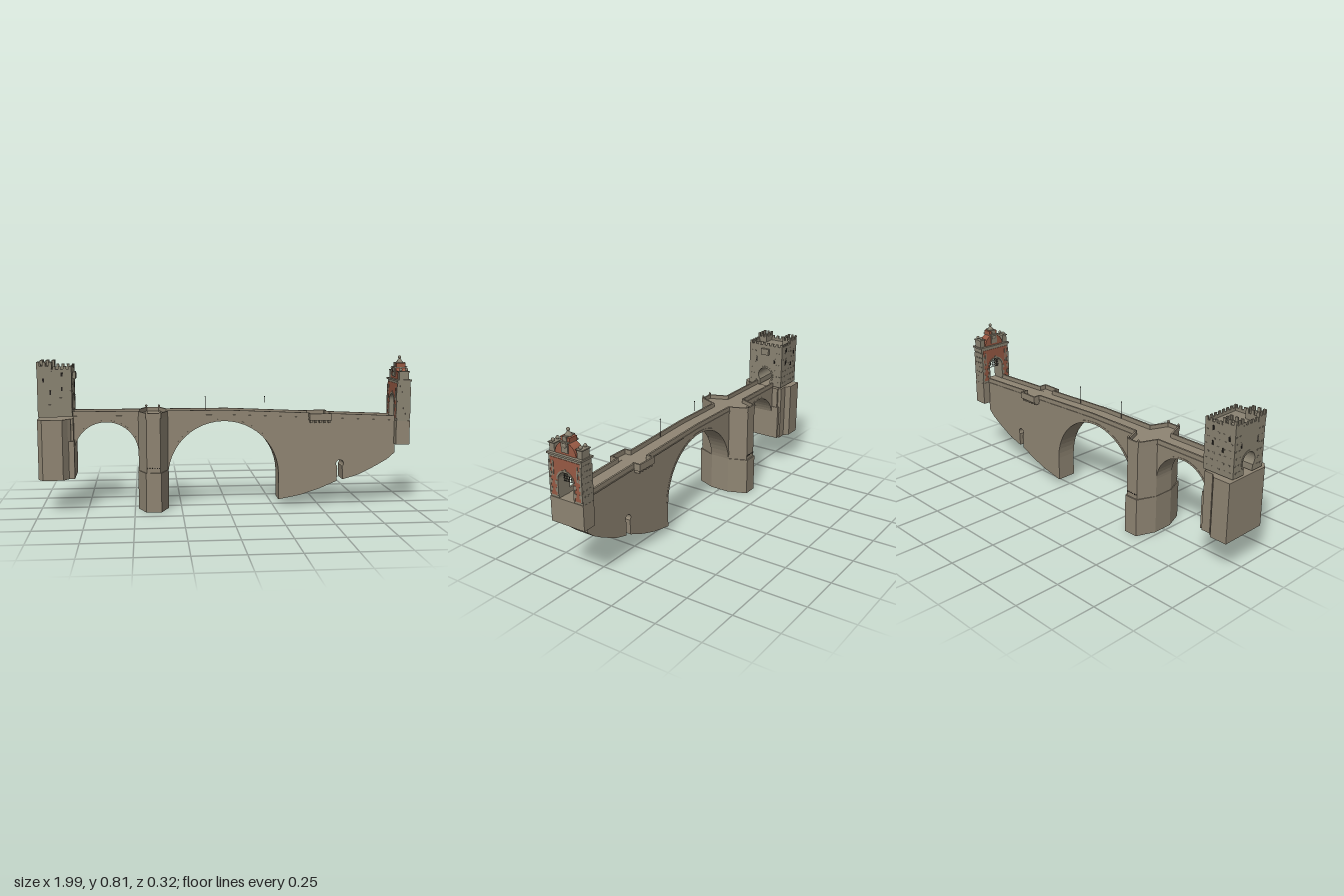
import * as THREE from 'three';

export function createModel() {
  const root = new THREE.Group();
  root.name = 'fortifiedBridge';
  const mat = (name, color) => {
    const m = new THREE.MeshStandardMaterial({ color });
    m.name = name;
    return m;
  };
  const stone = mat('stone', 0x8f8573);
  const greyStone = mat('greyStone', 0x8a8372);
  const brick = mat('brick', 0x985a44);
  const iron = mat('iron', 0x24211e);

  const add = (name, geo, m, parent = root) => {
    const mesh = new THREE.Mesh(geo, m);
    mesh.name = name;
    parent.add(mesh);
    return mesh;
  };
  const group = (name) => {
    const g = new THREE.Group();
    g.name = name;
    root.add(g);
    return g;
  };
  // Box given by its limits on each axis
  const box = (name, [x0, x1], [y0, y1], [z0, z1], m, parent) => {
    const b = add(name, new THREE.BoxGeometry(x1 - x0, y1 - y0, z1 - z0), m, parent);
    b.position.set((x0 + x1) / 2, (y0 + y1) / 2, (z0 + z1) / 2);
    return b;
  };
  const ball = (name, r, x, y, z, m, parent) => {
    const b = add(name, new THREE.SphereGeometry(r, 12, 8), m, parent);
    b.position.set(x, y, z);
    return b;
  };
  const prism = (pts, depth) => new THREE.ExtrudeGeometry(
    new THREE.Shape(pts.map(([a, b]) => new THREE.Vector2(a, b))), { depth, bevelEnabled: false });
  const alongZ = (pts, z0, z1) => prism(pts, z1 - z0).translate(0, 0, z0);
  const alongX = (pts, x0, x1) => prism(pts, x1 - x0).rotateY(Math.PI / 2).translate(x0, 0, 0);
  const alongY = (pts, y0, y1) => prism(pts.map(([x, z]) => [x, -z]), y1 - y0)
    .rotateX(-Math.PI / 2).translate(0, y0, 0);
  const arc = (cx, cy, r, a0, a1, n = 24) => Array.from({ length: n + 1 }, (_, i) => {
    const a = a0 + (a1 - a0) * i / n;
    return [cx + r * Math.cos(a), cy + r * Math.sin(a)];
  });
  const ring = (cx, cy, r, w, a0, a1) => [...arc(cx, cy, r + w, a0, a1), ...arc(cx, cy, r, a1, a0)];
  const PI = Math.PI;
  const deckY = (x) => 0.505 - 0.04 * Math.max(0, x) / 0.92;

  // Span: one side profile with both arches and the drain opening
  const span = group('span');
  add('spanBody', alongZ([
    [-0.82, 0.505], [-0.82, 0.3], ...arc(-0.649, 0.3, 0.171, PI, 0),
    [-0.478, 0.1], [-0.322, 0.1], ...arc(-0.022, 0.17, 0.3, PI, 0, 32),
    [0.278, 0.035], [0.4, 0.058], [0.5, 0.09], [0.6, 0.132],
    ...arc(0.616, 0.228, 0.021, 1.27 * PI, -0.27 * PI, 14),
    [0.632, 0.14], [0.72, 0.165], [0.82, 0.215], [0.88, 0.25], [0.92, 0.285],
    [0.92, 0.465], [0, 0.505],
  ], -0.056, 0.056), stone, span);

  // Sloping strip that follows the deck between two stations
  const strip = (name, x0, x1, low, high, z0, z1) => {
    const xs = x0 < 0 && x1 > 0 ? [x0, 0, x1] : [x0, x1];
    add(name, alongZ([...xs.map((x) => [x, deckY(x) + low]),
      ...[...xs].reverse().map((x) => [x, deckY(x) + high])], z0, z1), stone, span);
  };
  for (const s of [-1, 1]) {
    const zr = (a, b) => (s > 0 ? [a, b] : [-b, -a]);
    for (const [x0, x1] of [[-0.82, -0.475], [-0.325, 0.445], [0.555, 0.915]]) {
      strip('parapet', x0, x1, -0.001, 0.024, ...zr(0.047, 0.057));
      strip('stringCourse', x0, x1, -0.006, 0, ...zr(0.05, 0.06));
    }
    // Arch rings, slightly proud of the wall
    const [r0, r1] = zr(0.05, 0.0575);
    add('smallArchRing', alongZ(ring(-0.649, 0.3, 0.171, 0.01, 0.1, PI - 0.1), r0, r1), stone, span);
    add('largeArchRing', alongZ(ring(-0.022, 0.17, 0.3, 0.012, 0.03, PI - 0.03), r0, r1), stone, span);

    // Lookout balcony on corbels
    box('balconyFloor', [0.44, 0.56], [0.471, 0.483], zr(0.05, 0.093), stone, span);
    box('balconyWall', [0.44, 0.56], [0.478, 0.508], zr(0.085, 0.094), stone, span);
    for (const x of [0.44, 0.551]) box('balconyEnd', [x, x + 0.009], [0.478, 0.508], zr(0.047, 0.09), stone, span);
    for (let i = 0; i < 5; i++) {
      const x = 0.445 + i * 0.025;
      box('corbel', [x, x + 0.01], [0.456, 0.472], zr(0.05, 0.085), stone, span);
    }
  }

  // Central pier: six-sided plan, wider foot, refuges on top
  const pier = group('pier');
  const hexPlan = (w, e, z) => [[-0.4 - w, -0.056], [-0.4 - e, -z], [-0.4 + e, -z],
    [-0.4 + w, -0.056], [-0.4 + w, 0.056], [-0.4 + e, z], [-0.4 - e, z], [-0.4 - w, 0.056]];
  add('pierFoot', alongY(hexPlan(0.081, 0.04, 0.16), 0, 0.21), stone, pier);
  add('pierShaft', alongY(hexPlan(0.0785, 0.036, 0.153), 0.2, 0.505), stone, pier);
  const wall = (a, b, y0, y1, t) => {
    const dx = b[0] - a[0], dz = b[1] - a[1];
    const w = add('refugeWall', new THREE.BoxGeometry(Math.hypot(dx, dz) + t * 0.6, y1 - y0, t), stone, pier);
    w.position.set((a[0] + b[0]) / 2, (y0 + y1) / 2, (a[1] + b[1]) / 2);
    w.rotation.y = -Math.atan2(dz, dx);
  };
  for (const s of [-1, 1]) {
    const p = [[-0.475, 0.052], [-0.435, 0.149], [-0.365, 0.149], [-0.325, 0.052]].map(([x, z]) => [x, z * s]);
    for (let i = 0; i < 3; i++) wall(p[i], p[i + 1], 0.5, 0.527, 0.009);
    for (const [x, z] of [p[1], p[2]]) {
      box('refugePost', [x - 0.005, x + 0.005], [0.5, 0.531], [z - 0.005, z + 0.005], stone, pier);
      ball('refugeBall', 0.006, x, 0.535, z, stone, pier);
    }
    for (let i = 0; i < 6; i++) {
      const x = -0.434 + i * 0.0125;
      box('putlog', [x, x + 0.005], [0.232, 0.237], [s * 0.154 - 0.002, s * 0.154 + 0.002], iron, pier);
    }
  }

  // Lamp posts
  for (const x of [-0.12, 0.2]) {
    const post = add('lampPost', new THREE.CylinderGeometry(0.0013, 0.0013, 0.095, 6), iron);
    post.position.set(x, 0.55, 0.045);
    ball('lampHead', 0.003, x, 0.6, 0.045, iron);
  }

  // Abutment under the tower
  const base = group('towerBase');
  add('baseBlock', alongY([[-1, -0.135], [-0.905, -0.135], [-0.88, -0.11], [-0.83, -0.11], [-0.83, 0.11],
    [-0.845, 0.125], [-0.87, 0.16], [-0.975, 0.16], [-1, 0.13]], 0.18, 0.497), stone, base);
  box('baseFront', [-0.87, -0.813], [0.18, 0.38], [-0.1, 0.122], stone, base);
  box('baseUpper', [-0.87, -0.818], [0.37, 0.497], [-0.09, 0.1], stone, base);

  // Tower with a horseshoe passage
  const tower = group('tower');
  const T = { x0: -0.997, x1: -0.82, z: 0.11 };
  add('towerBody', alongX([[-0.11, 0.507], [-0.033, 0.507], ...arc(0, 0.57, 0.045, 1.238 * PI, -0.238 * PI),
    [0.033, 0.507], [0.11, 0.507], [0.11, 0.742], [-0.11, 0.742]], T.x0, T.x1), greyStone, tower);
  for (const x of [T.x0 - 0.002, T.x1 - 0.002]) {
    add('doorRing', alongX(ring(0, 0.57, 0.045, 0.01, -0.238 * PI, 1.238 * PI), x, x + 0.004), greyStone, tower);
  }
  box('machicolation', [-0.825, -0.805], [0.7, 0.737], [-0.025, 0.025], greyStone, tower);

  // Battlements round a rectangle: low wall plus merlons
  const battlement = (x0, x1, z0, z1, y0, y1, y2, nx, nz) => {
    const t = 0.008;
    const side = (len, n, place) => {
      place(0, len, y0, y1);
      const step = len / (2 * n - 1);
      for (let i = 0; i < n; i++) place(2 * i * step, (2 * i + 1) * step, y1 - 0.001, y2);
    };
    for (const z of [z0, z1 - t]) {
      side(x1 - x0, nx, (a, b, l, h) => box('merlon', [x0 + a, x0 + b], [l, h], [z, z + t], greyStone, tower));
    }
    for (const x of [x0, x1 - t]) {
      side(z1 - z0, nz, (a, b, l, h) => box('merlon', [x, x + t], [l, h], [z0 + a, z0 + b], greyStone, tower));
    }
  };
  battlement(T.x0, T.x1, -T.z, T.z, 0.74, 0.757, 0.772, 7, 8);
  for (const z of [-0.111, 0.055]) {
    box('turret', [-0.998, -0.922], [0.735, 0.762], [z, z + 0.056], greyStone, tower);
    battlement(-0.999, -0.921, z, z + 0.056, 0.76, 0.773, 0.794, 3, 3);
  }

  // Slit windows and proud stone blocks on the tower
  const slits = [[-0.965, 0.7], [-0.87, 0.73], [-0.93, 0.635], [-0.87, 0.655]];
  for (const s of [-1, 1]) {
    for (const [x, y] of slits) {
      box('slit', [x - 0.004, x + 0.004], [y - 0.011, y + 0.011], [s * 0.111 - 0.002, s * 0.111 + 0.002], iron, tower);
    }
    for (const x of [T.x0, T.x1]) {
      box('slit', [x - 0.001, x + 0.001], [0.65, 0.675], [s * 0.06 - 0.004, s * 0.06 + 0.004], iron, tower);
    }
  }
  for (let r = 0; r < 6; r++) {
    for (let c = 0; c < 5; c++) {
      const x = -0.985 + c * 0.034 + (r % 2) * 0.01, y = 0.53 + r * 0.036;
      for (const s of [-1, 1]) {
        box('block', [x, x + 0.012], [y, y + 0.007], [s * 0.11 - 0.0015, s * 0.11 + 0.0015], greyStone, tower);
        const z = s * (0.066 + (c % 2) * 0.024 + (r % 2) * 0.006);
        const fx = c < 2 ? T.x0 : T.x1;
        if (c < 4) box('block', [fx - 0.0015, fx + 0.0015], [y, y + 0.007], [z - 0.006, z + 0.006], greyStone, tower);
      }
    }
  }

  // Gatehouse at the far end
  const gate = group('gatehouse');
  const G = { x0: 0.916, x1: 0.986 };
  const archway = (r, y) => [[-r, y], ...arc(0, 0.56, r, PI, 0), [r, y]];
  add('gateBase', new THREE.BoxGeometry(0.075, 0.13, 0.198).translate(0.9515, 0.4, 0), stone, gate);
  add('gateWall', alongX([[-0.098, 0.46], ...archway(0.045, 0.46), [0.098, 0.46], [0.098, 0.685], [-0.098, 0.685]],
    G.x0, G.x1), greyStone, gate);
  for (const x of [G.x0, G.x1]) {
    add('brickPanel', alongX([[-0.088, 0.477], ...archway(0.046, 0.477), [0.088, 0.477], [0.088, 0.667], [-0.088, 0.667]],
      x - 0.002, x + 0.002), brick, gate);
    const face = [x - 0.004, x + 0.004];
    add('archSurround', alongX(ring(0, 0.56, 0.045, 0.009, 0, PI), ...face), greyStone, gate);
    box('keystone', face, [0.603, 0.621], [-0.006, 0.006], greyStone, gate);
    for (const s of [-1, 1]) {
      const zr = (a, b) => (s > 0 ? [a, b] : [-b, -a]);
      box('pilasterStrip', face, [0.575, 0.65], zr(0.068, 0.076), greyStone, gate);
      // Toothed quoins along the wall edge and the door jambs
      for (let i = 0; i < 9; i++) {
        const y = 0.477 + i * 0.019;
        box('quoin', face, [y, y + 0.0195], zr(i % 2 ? 0.08 : 0.088, 0.0975), greyStone, gate);
        if (i < 4) box('jambQuoin', face, [y, y + 0.0195], zr(0.045, i % 2 ? 0.062 : 0.053), greyStone, gate);
      }
    }
  }
  for (let r = 0; r < 6; r++) {
    for (let c = 0; c < 3; c++) {
      const x = 0.922 + c * 0.02 + (r % 2) * 0.008, y = 0.5 + r * 0.03;
      for (const s of [-1, 1]) {
        box('block', [x, x + 0.01], [y, y + 0.007], [s * 0.098 - 0.0015, s * 0.098 + 0.0015], greyStone, gate);
      }
    }
  }

  // Portcullis
  for (let i = 0; i < 9; i++) {
    const z = -0.04 + i * 0.01;
    box('bar', [0.949, 0.951], [0.54, 0.56 + Math.sqrt(0.045 ** 2 - z * z)], [z - 0.0009, z + 0.0009], iron, gate);
  }
  for (const y of [0.542, 0.554, 0.566, 0.578, 0.59]) {
    const w = Math.sqrt(0.045 ** 2 - Math.max(0, y - 0.56) ** 2);
    box('bar', [0.949, 0.951], [y - 0.0009, y + 0.0009], [-w, w], iron, gate);
  }

  // Cornice, corner pedestals and curved pediment with its crown
  box('cornice', [0.909, 0.993], [0.679, 0.688], [-0.104, 0.104], greyStone, gate);
  for (const z of [-0.082, 0.082]) {
    box('pedestal', [0.925, 0.977], [0.688, 0.728], [z - 0.015, z + 0.015], greyStone, gate);
    box('pedestalCap', [0.921, 0.981], [0.728, 0.733], [z - 0.019, z + 0.019], greyStone, gate);
    for (const x of [0.935, 0.967]) ball('pedestalBall', 0.009, x, 0.741, z, greyStone, gate);
  }
  add('pediment', alongX(arc(0, 0.688, 0.062, 0, PI), 0.924, 0.978), brick, gate);
  box('crownBrick', [0.926, 0.976], [0.752, 0.774], [-0.027, 0.027], brick, gate);
  box('crownBlock', [0.918, 0.984], [0.7, 0.75], [-0.02, 0.02], greyStone, gate);
  box('crownLedge', [0.914, 0.988], [0.748, 0.755], [-0.025, 0.025], greyStone, gate);
  for (const x of [0.918, 0.984]) {
    ball('medallion', 0.014, x, 0.735, 0, greyStone, gate).scale.set(0.3, 0.8, 1);
  }
  box('crownTop', [0.922, 0.98], [0.755, 0.778], [-0.012, 0.012], greyStone, gate);
  const finial = add('finial', new THREE.LatheGeometry([[0, 0.772], [0.017, 0.772], [0.018, 0.78], [0.01, 0.79],
    [0.005, 0.798], [0, 0.8]].map(([r, y]) => new THREE.Vector2(r, y)), 16), greyStone, gate);
  finial.position.x = 0.951;
  ball('finialBall', 0.009, 0.951, 0.805, 0, greyStone, gate);
  return root;
}
